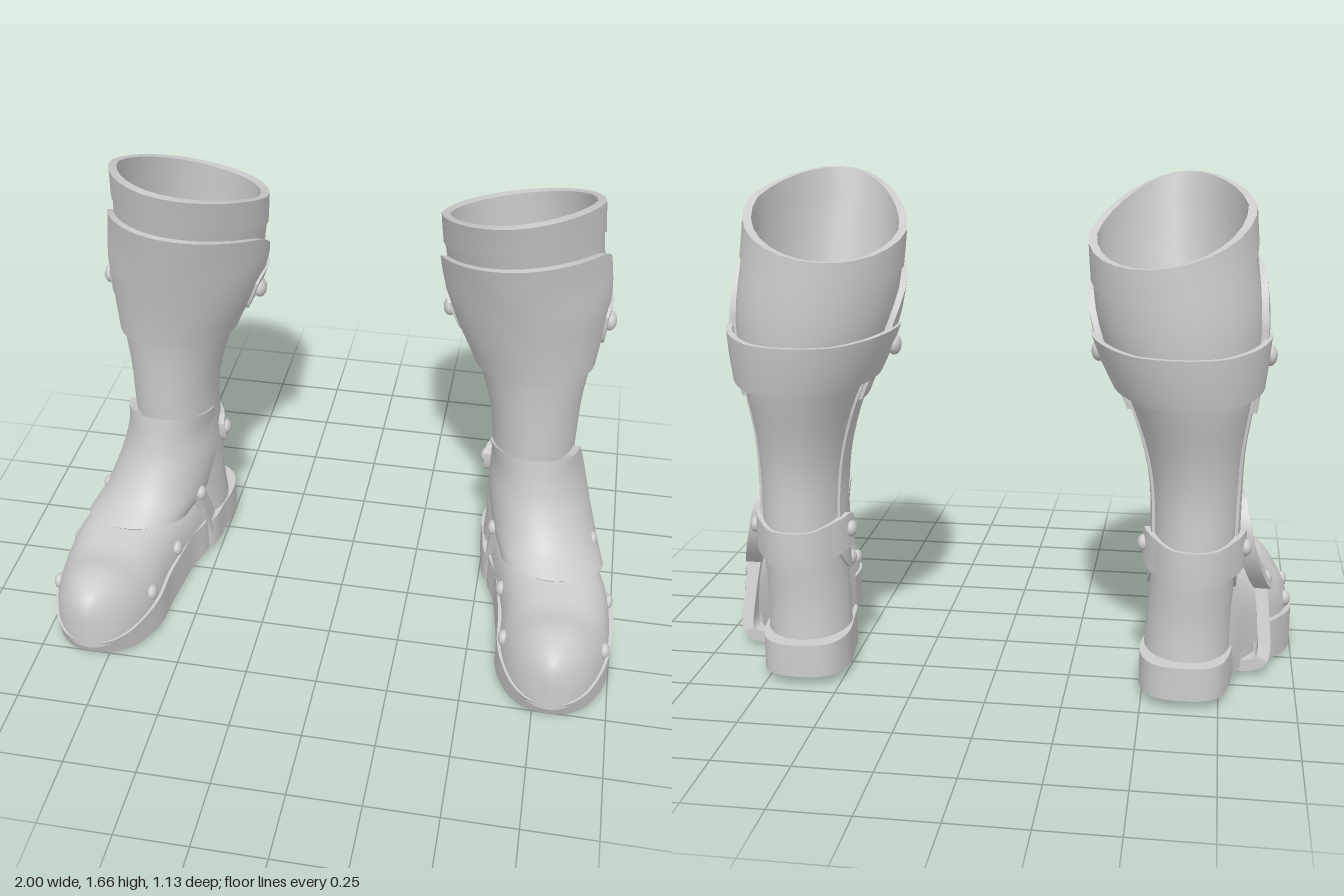
import * as THREE from 'three';
import { toCreasedNormals } from 'three/addons/utils/BufferGeometryUtils.js';

const material = new THREE.MeshStandardMaterial({ color: 0xcccccc, side: THREE.DoubleSide });
const { lerp, clamp } = THREE.MathUtils;

// Smooth lookup in rows of [key, ...values]
function sample(rows, key) {
  const n = rows.length;
  const k = clamp(key, rows[0][0], rows[n - 1][0]);
  let i = 0;
  while (i < n - 2 && k > rows[i + 1][0]) i++;
  const slope = (j, c) => {
    const a = rows[Math.max(j - 1, 0)], b = rows[Math.min(j + 1, n - 1)];
    return (b[c] - a[c]) / (b[0] - a[0]);
  };
  const p = rows[i], q = rows[i + 1], h = q[0] - p[0], t = (k - p[0]) / h;
  return p.slice(1).map((_, m) => {
    const c = m + 1, t2 = t * t, t3 = t2 * t;
    return (2 * t3 - 3 * t2 + 1) * p[c] + (t3 - 2 * t2 + t) * h * slope(i, c)
      + (3 * t2 - 2 * t3) * q[c] + (t3 - t2) * h * slope(i + 1, c);
  });
}

function mesh(name, geometry) {
  const m = new THREE.Mesh(geometry, material);
  m.name = name;
  return m;
}

// Solid sheet: f(u, v, offset) gives a point; closed sheets join at u = 0 and 1
function slab(name, f, nu, nv, inner, outer, closed = false) {
  const pos = [], idx = [], w = nv + 1, layer = (nu + 1) * w;
  for (const o of [outer, inner])
    for (let i = 0; i <= nu; i++)
      for (let j = 0; j <= nv; j++) pos.push(...f(i / nu, j / nv, o));
  const quad = (a, b, c, d) => idx.push(a, b, c, a, c, d);
  for (let i = 0; i < nu; i++) {
    for (let j = 0; j < nv; j++) {
      const a = i * w + j, b = a + w;
      quad(a, b, b + 1, a + 1);
      quad(layer + a, layer + a + 1, layer + b + 1, layer + b);
    }
    const a = i * w, b = a + w;
    quad(a, layer + a, layer + b, b);
    quad(a + nv, b + nv, layer + b + nv, layer + a + nv);
  }
  if (!closed) for (let j = 0; j < nv; j++) {
    const e = nu * w + j;
    quad(j, j + 1, layer + j + 1, layer + j);
    quad(e, layer + e, layer + e + 1, e + 1);
  }
  const g = new THREE.BufferGeometry();
  g.setAttribute('position', new THREE.Float32BufferAttribute(pos, 3));
  g.setIndex(idx);
  return mesh(name, toCreasedNormals(g, 0.6));
}

// Leg sections: y, centre x, half width, back z, front z
const LEG = [
  [0.10, 0.64, 0.142, -0.42, -0.10], [0.25, 0.645, 0.138, -0.41, -0.08],
  [0.45, 0.655, 0.137, -0.42, -0.05], [0.68, 0.655, 0.14, -0.415, -0.035],
  [0.82, 0.645, 0.155, -0.44, -0.03], [0.97, 0.63, 0.19, -0.49, -0.018],
  [1.12, 0.603, 0.235, -0.53, 0.012], [1.25, 0.585, 0.26, -0.54, 0.045],
  [1.45, 0.56, 0.26, -0.535, 0.10], [1.70, 0.545, 0.255, -0.53, 0.166],
];
// Point on the leg; angle 0 is the front, a quarter turn is +x
function leg(angle, y, o) {
  const [cx, rx, zb, zf] = sample(LEG, y);
  const s = Math.sin(angle), c = Math.cos(angle);
  const taper = 1 - 0.18 * Math.max(0, c) * clamp((y - 0.95) / 0.4, 0, 1);
  return [cx + (rx + o) * s * taper, y, (zb + zf) / 2 + ((zf - zb) / 2 + o) * c];
}
// Height where a slanted plane cuts the leg
function slant(angle, top, kx, kz) {
  let y = top;
  for (let i = 0; i < 3; i++) {
    const [x, , z] = leg(angle, y, 0);
    y = top + kx * (x - 0.58) + kz * (z - 0.15);
  }
  return y;
}
const rim = (a) => slant(a, 1.66, 0.18, 0.32);

// Foot sections: z, centre x, half width, base y, top y, squareness
const FOOT = [
  [-0.36, 0.645, 0.08, 0.10, 0.40, 2.5], [-0.26, 0.66, 0.133, 0.10, 0.42, 2.8],
  [-0.15, 0.69, 0.16, 0.10, 0.38, 3], [0, 0.755, 0.188, 0.10, 0.33, 3],
  [0.1, 0.785, 0.192, 0.10, 0.325, 2.8], [0.2, 0.80, 0.19, 0.09, 0.312, 2.4],
  [0.3, 0.80, 0.189, 0.09, 0.299, 2.2], [0.42, 0.80, 0.186, 0.09, 0.325, 2.15],
  [0.56, 0.80, 0.186, 0.08, 0.325, 2.1],
];
function footSection(z) {
  const [cx, hw, base, top, power] = sample(FOOT, z);
  const e = z > 0.25 ? Math.sqrt(Math.max(0, 1 - ((z - 0.25) / 0.31) ** 2)) : 1;
  return [cx, hw * e, base, (top - base) * e ** 0.28, power];
}
function foot(u, v, o) {
  const z = -0.36 + 0.92 * Math.sin(v * Math.PI / 2), a = u * Math.PI;
  const [cx, hw, base, h, power] = footSection(z), c = Math.cos(a);
  const x = cx + Math.max(0, hw + o) * Math.sign(c) * Math.abs(c) ** (2 / power);
  return [x, base + Math.max(0, h + o) * Math.max(0, Math.sin(a)) ** (2 / power), z];
}

// Instep cover rows: step, centre x, half width, front z, front y, side z, side y
const COVER = [
  [0, 0.765, 0.178, 0.20, 0.328, 0, 0.262], [0.25, 0.725, 0.182, 0.10, 0.385, -0.13, 0.305],
  [0.5, 0.69, 0.175, 0.03, 0.48, -0.22, 0.42], [0.75, 0.676, 0.16, -0.001, 0.57, -0.235, 0.54],
  [1, 0.665, 0.152, -0.018, 0.67, -0.18, 0.635],
];
function cover(u, v, o) {
  const [cx, w, fz, fy, sz, sy] = sample(COVER, v);
  const a = (u - 0.5) * Math.PI, c = Math.cos(a);
  return [cx + (w + o) * Math.sin(a), lerp(sy, fy, c) + 0.7 * o * c, lerp(sz, fz, c) + 0.7 * o * c];
}

// Strap running round the back of the leg with rounded ends
function strap(name, start, frontY, backY, half, inner, outer, lift) {
  const f = (u, v, o) => {
    const end = Math.min(u, 1 - u), s = Math.min(1, end / 0.06);
    const a = lerp(start, 2 * Math.PI - start, u);
    const h = half * (0.5 + 0.5 * Math.sqrt(1 - (1 - s) ** 2));
    const y = lerp(frontY, backY, clamp(end / 0.35, 0, 1)) + (v * 2 - 1) * h;
    return leg(a, y, o + lift * Math.max(0, 1 - end / 0.2));
  };
  return slab(name, f, 50, 2, inner, outer);
}

// Sole block from rows of [z, centre x, half width], with sloping top and bottom and a raked toe
function sole(name, rows, top, bottom) {
  const edge = (s) => rows.map(([z, cx, hw]) => new THREE.Vector3(cx + s * hw, z, 0));
  const curve = new THREE.CatmullRomCurve3([...edge(1), ...edge(-1).reverse()], true, 'centripetal');
  const pts = curve.getPoints(56).slice(0, -1).map((p) => new THREE.Vector2(p.x, p.y));
  const g = new THREE.ExtrudeGeometry(new THREE.Shape(pts), { depth: 1, bevelEnabled: false });
  g.rotateX(Math.PI / 2);
  const p = g.attributes.position;
  for (let i = 0; i < p.count; i++) {
    const z = p.getZ(i), upper = p.getY(i) > -0.5;
    p.setY(i, upper ? top(z) : bottom(z));
    if (!upper) p.setZ(i, z - 0.13 * Math.max(0, z - 0.3));
  }
  return mesh(name, toCreasedNormals(g, 0.6));
}

function boot() {
  const g = new THREE.Group();
  const turn = 2 * Math.PI;

  // Leg, rolled cuff and inner floor
  g.add(slab('shaft', (u, v, o) => leg(u * turn, lerp(0.1, rim(u * turn), v), o), 28, 22, -0.02, 0, true));
  g.add(slab('cuff', (u, v, o) => leg(u * turn, rim(u * turn) - 0.115 * (1 - v), o), 28, 2, -0.022, 0.006, true));
  const floor = mesh('insole', new THREE.CircleGeometry(1, 28).rotateX(-Math.PI / 2));
  floor.scale.set(0.128, 1, 0.18);
  floor.position.set(0.655, 0.66, -0.226);
  g.add(floor);

  // Layered shin panel and guard plate
  g.add(slab('shinPanel', (u, v, o) => {
    const s = u * 2 - 1;
    return leg(s * (1.8 + 0.15 * (1 - v)), lerp(0.42 - 0.1 * (1 - Math.abs(s) ** 6), 1.02, v), o);
  }, 24, 12, -0.01, 0.009));
  g.add(slab('shinGuard', (u, v, o) => {
    const s = u * 2 - 1, a = s * 1.78;
    const top = slant(a, 1.51, 0.13, 0.36) - 0.14 * Math.abs(s) ** 14;
    return leg(a, lerp(0.99 - 0.04 * s * s, top, v), o);
  }, 36, 14, 0, 0.022));

  // Foot and instep
  g.add(slab('footUpper', foot, 28, 32, -0.02, 0));
  g.add(slab('instepCover', cover, 24, 18, -0.05, 0.004));

  // Sole and heel
  g.add(sole('sole', [[-0.1, 0.715, 0.175], [0, 0.765, 0.197], [0.1, 0.79, 0.204], [0.2, 0.8, 0.2],
    [0.32, 0.8, 0.193], [0.42, 0.8, 0.164], [0.5, 0.8, 0.12], [0.55, 0.8, 0.055]],
  (z) => 0.1 + 0.1 * (0.56 - z), (z) => 0.25 * (z - 0.25) ** 2));
  g.add(sole('heel', [[-0.455, 0.635, 0.06], [-0.42, 0.635, 0.115], [-0.34, 0.636, 0.145], [-0.22, 0.65, 0.15],
    [-0.09, 0.70, 0.165]], (z) => 0.15 + 0.03 * (z + 0.2), () => 0.03));

  // Strap passing under the waist of the sole
  const path = new THREE.CatmullRomCurve3([[0.55, 0.32], [0.535, 0.2], [0.53, 0.07], [0.55, 0.035], [0.72, 0.03],
    [0.88, 0.035], [0.91, 0.07], [0.908, 0.2], [0.895, 0.32]].map(([x, y]) => new THREE.Vector3(x, y, 0)),
  false, 'centripetal');
  g.add(slab('soleStrap', (u, v, o) => {
    const p = path.getPoint(u), t = path.getTangent(u);
    const z = -0.145 + 0.28 * Math.max(0, p.y - 0.06);
    return [p.x + t.y * o, p.y - t.x * o, z + (0.5 - v) * 0.07];
  }, 40, 1, -0.035, 0.006));

  // Calf and ankle straps
  g.add(strap('calfStrap', 1.38, 1.12, 1.085, 0.082, 0.012, 0.032, 0));
  g.add(strap('ankleStrap', 1.55, 0.49, 0.46, 0.06, -0.01, 0.013, 0.02));

  // Domed rivets on both sides
  const rivet = (x, y, z, r) => {
    const m = mesh('rivet', new THREE.SphereGeometry(r, 14, 10));
    m.scale.x = 0.7;
    m.position.set(x, y, z);
    g.add(m);
  };
  for (const s of [1, -1]) {
    for (const [y, z] of [[0.165, 0.335], [0.18, 0.105]]) {
      const [cx, hw, base, h, power] = footSection(z);
      rivet(cx + s * hw * (1 - ((y - base) / h) ** power) ** (1 / power), y, z, 0.028);
    }
    rivet(s > 0 ? 0.9 : 0.545, 0.315, -0.065, 0.028);
    const [ax, ay, az] = leg(s * 1.69, 0.49, 0.03);
    rivet(ax, ay, az, 0.028);
    const [bx, by, bz] = leg(s * 1.52, 1.125, 0.034);
    rivet(bx, by, bz, 0.034);
  }
  return g;
}

export function createModel() {
  const model = new THREE.Group();
  const left = boot(), right = boot();
  left.name = 'leftBoot';
  right.name = 'rightBoot';
  right.scale.x = -1;
  model.add(left, right);
  return model;
}
